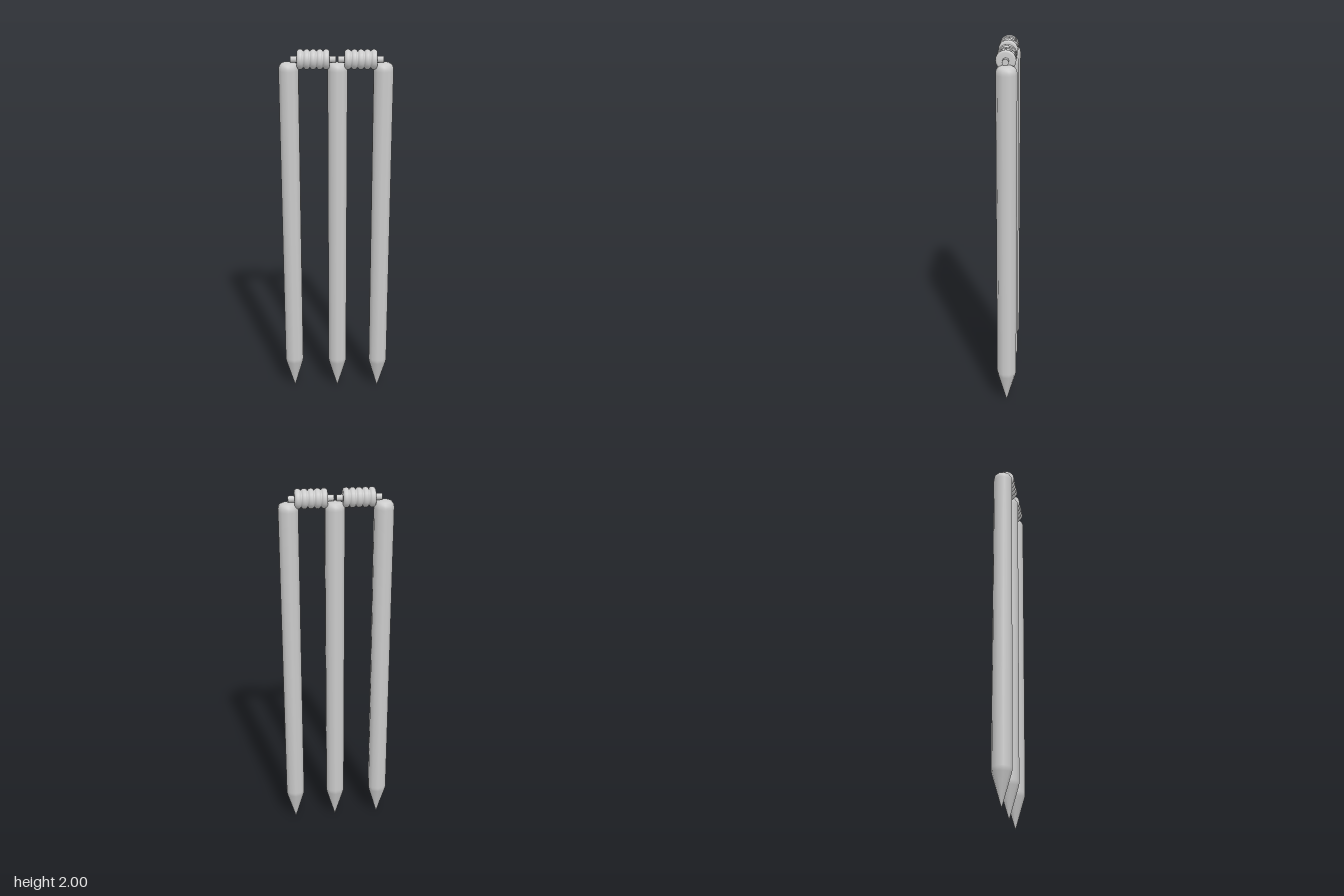
import * as THREE from 'three';

const material = new THREE.MeshStandardMaterial({ color: 0xcccccc });

// Smooth turned solid from [radius, height] pairs listed bottom to top
function turned(name, profile, sides) {
  const points = profile.map(([r, y]) => new THREE.Vector2(r, y));
  const mesh = new THREE.Mesh(new THREE.LatheGeometry(points, sides), material);
  mesh.name = name;
  return mesh;
}

// Upright post: sharpened foot, straight ten-sided shaft, softly domed top
function createStump(x) {
  const R = 0.0535;
  const stump = turned('stump', [
    [0, 0], [R * 0.95, 0.175], [R, 0.19], [R, 0.2],
    [R, 1.89], [R, 1.9], [0.0505, 1.915], [0.042, 1.926], [0.028, 1.932], [0, 1.934],
  ], 10);
  stump.position.set(x, 0, -0.003);
  return stump;
}

// Crosspiece: a ribbed barrel on a thin spigot, lying along x
function createBail(barrelStart, barrelEnd, spigotStart, spigotEnd) {
  const bail = new THREE.Group();
  bail.name = 'bail';

  // Five rounded ribs with shallow valleys between them
  const ribs = 5;
  const width = (barrelEnd - barrelStart) / ribs;
  const rib = [[0.041, 0], [0.048, 0.14], [0.0515, 0.34], [0.0515, 0.66], [0.048, 0.86]];
  const profile = [[0, 0]];
  for (let i = 0; i < ribs; i++) {
    for (const [r, t] of rib) profile.push([r, (i + t) * width]);
  }
  profile.push([0.041, ribs * width], [0, ribs * width]);
  const barrel = turned('ribbedBarrel', profile, 20);
  barrel.rotation.z = -Math.PI / 2;
  barrel.position.x = barrelStart;

  // Spigot passing through and showing at both ends
  const length = spigotEnd - spigotStart;
  const spigot = new THREE.Mesh(new THREE.CylinderGeometry(0.0175, 0.0175, length, 8), material);
  spigot.name = 'spigot';
  spigot.rotation.z = -Math.PI / 2;
  spigot.position.x = (spigotStart + spigotEnd) / 2;

  bail.add(barrel, spigot);
  bail.position.set(0, 1.9485, 0.002);
  return bail;
}

export function createModel() {
  const wicket = new THREE.Group();
  wicket.name = 'wicket';
  for (const x of [-0.245, 0.007, 0.243]) wicket.add(createStump(x));
  wicket.add(createBail(-0.201, -0.034, -0.235, -0.002));
  wicket.add(createBail(0.043, 0.21, 0.01, 0.243));
  return wicket;
}
